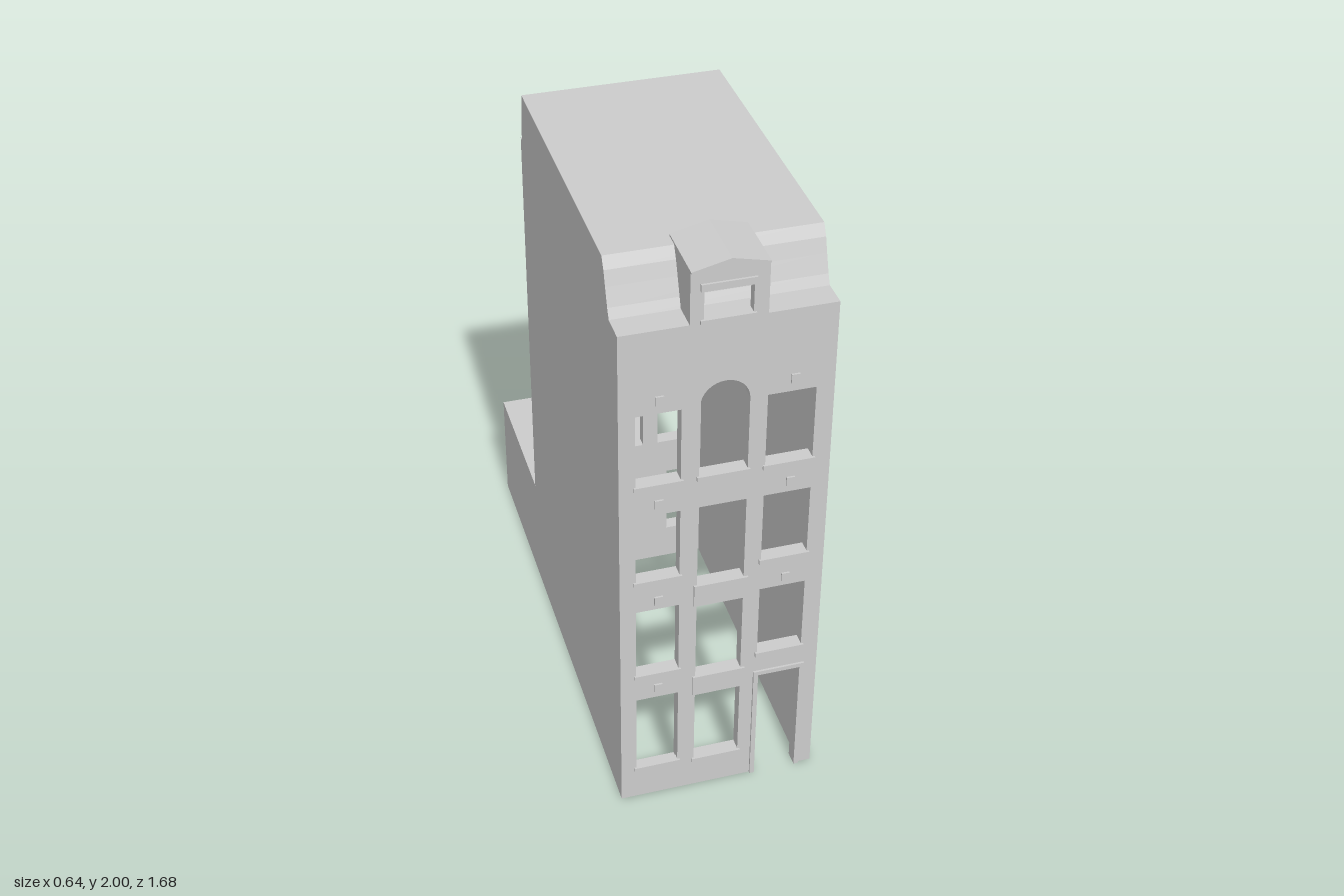
import * as THREE from 'three';

const W = 0.32, FRONT = 0.835, BACK = -0.32, T = 0.04;
const COLS = [[-0.27, -0.135], [-0.08, 0.067], [0.12, 0.265]];
const ROWS = [[1.27, 1.52], [0.91, 1.155], [0.53, 0.79]];

export function createModel() {
  const model = new THREE.Group();
  const stone = new THREE.MeshStandardMaterial({ color: 0xcccccc, side: THREE.DoubleSide });
  stone.name = 'grey stone';

  const add = (name, geometry) => {
    const mesh = new THREE.Mesh(geometry, stone);
    mesh.name = name;
    model.add(mesh);
    return mesh;
  };
  const box = (name, x0, x1, y0, y1, z0, z1) =>
    add(name, new THREE.BoxGeometry(x1 - x0, y1 - y0, z1 - z0))
      .position.set((x0 + x1) / 2, (y0 + y1) / 2, (z0 + z1) / 2);
  const outline = (pts) => new THREE.Shape(pts.map(([x, y]) => new THREE.Vector2(x, y)));
  const rect = (x0, x1, y0, y1) => [[x0, y0], [x1, y0], [x1, y1], [x0, y1]];
  const cut = (shape, pts) => shape.holes.push(new THREE.Path(outline(pts).getPoints()));
  const extrude = (shape, depth) =>
    new THREE.ExtrudeGeometry(shape, { depth, bevelEnabled: false, curveSegments: 16 });
  // slab facing z, drawn in x and y
  const slabZ = (name, shape, z0, z1) => add(name, extrude(shape, z1 - z0).translate(0, 0, z0));
  // slab facing x, drawn in z and y
  const slabX = (name, shape, x0, x1) =>
    add(name, extrude(shape, x1 - x0).rotateY(-Math.PI / 2).translate(x1, 0, 0));

  // front wall with door notch and window openings
  const front = outline([[-W, 0], [0.12, 0], [0.12, 0.43], [0.265, 0.43], [0.265, 0], [W, 0], [W, 1.8], [-W, 1.8]]);
  for (const c of [0, 2]) for (const r of ROWS) cut(front, rect(...COLS[c], ...r));
  cut(front, rect(...COLS[0], 0.12, 0.425));
  cut(front, rect(...COLS[1], 0.12, 0.405));
  cut(front, rect(...COLS[1], 0.48, 0.775));
  cut(front, rect(...COLS[1], 0.855, 1.155));
  const arch = [[-0.08, 1.27], [0.067, 1.27]];
  for (let i = 0; i <= 16; i++) {
    const a = (i / 16) * Math.PI;
    arch.push([-0.0065 + 0.0735 * Math.cos(a), 1.522 + 0.0735 * Math.sin(a)]);
  }
  cut(front, arch);
  slabZ('frontWall', front, FRONT - T, FRONT);

  // back wall, solid behind the annex
  const back = outline(rect(-W, W, 0, 1.8));
  for (const c of COLS) for (const r of ROWS) cut(back, rect(...c, ...r));
  cut(back, rect(0.155, 0.265, 0.13, 0.395));
  slabZ('backWall', back, BACK, BACK + T);

  // side walls follow the roof profile
  const roofLine = [[0.75, 1.8], [0.735, 1.83], [0.715, 1.885], [0.7, 1.93], [0.68, 1.965], [-0.285, 1.965], [-0.305, 1.8]];
  const side = outline([[BACK, 0], [FRONT, 0], [FRONT, 1.8], ...roofLine, [BACK, 1.8]]);
  slabX('leftWall', side, W - T, W);
  slabX('rightWall', side, -W, -W + T);

  // roof shell and front gutter ledge
  const inner = roofLine.map(([z, y]) => [z > 0 ? z - 0.025 : z + 0.025, y > 1.9 ? y - 0.025 : y]).reverse();
  slabX('roof', outline([...roofLine, ...inner]), -W + T, W - T);
  box('frontLedge', -W + T, W - T, 1.78, 1.8, 0.72, FRONT - T);

  // sills, front and back
  const sill = (c, y, z0, z1) => box('sill', c[0] - 0.007, c[1] + 0.007, y - 0.015, y, z0, z1);
  for (const c of COLS) for (const r of ROWS) {
    if (c !== COLS[1] || r === ROWS[0]) sill(c, r[0], FRONT - 0.02, 0.842);
    sill(c, r[0], BACK - 0.008, BACK + 0.02);
  }
  sill(COLS[0], 0.13, FRONT - 0.02, 0.842);
  sill(COLS[1], 0.12, FRONT - 0.02, 0.842);
  sill([0.162, 0.265], 0.13, BACK - 0.008, BACK + 0.02);

  // raised panels between the middle windows
  for (const [y0, y1] of [[0.775, 0.855], [0.405, 0.48]]) box('balconyPanel', -0.09, 0.08, y0, y1, FRONT - T, 0.842);

  // small wall anchors
  for (const x of [-0.2, 0.2]) for (const y of [1.565, 1.195, 0.825, 0.465]) {
    if (x < 0 || y > 0.5) box('wallAnchor', x - 0.013, x + 0.013, y - 0.015, y + 0.015, FRONT - 0.01, 0.841);
  }

  // door frame
  slabZ('doorFrame', outline([[0.11, 0], [0.125, 0], [0.125, 0.435], [0.262, 0.435], [0.262, 0], [0.277, 0], [0.277, 0.45], [0.11, 0.45]]), FRONT - T, 0.842);

  // dormer
  const dormer = outline([[-0.115, 1.8], [0.112, 1.8], [0.112, 1.967], [0, 1.995], [-0.115, 1.967]]);
  cut(dormer, rect(-0.075, 0.068, 1.812, 1.905));
  slabZ('dormerFront', dormer, FRONT - 0.03, FRONT);
  const cheek = outline([[FRONT - 0.03, 1.8], [FRONT - 0.03, 1.967], [0.68, 1.967], [0.7, 1.93], [0.75, 1.8]]);
  slabX('dormerLeftCheek', cheek, 0.092, 0.112);
  slabX('dormerRightCheek', cheek, -0.115, -0.095);
  slabZ('dormerRoof', outline([[-0.115, 1.967], [0, 1.99], [0.112, 1.967], [0.112, 1.973], [0, 2], [-0.115, 1.973]]), 0.635, 0.842);
  box('dormerLintel', -0.086, 0.076, 1.905, 1.928, FRONT - 0.02, 0.842);
  box('dormerSill', -0.086, 0.076, 1.798, 1.812, FRONT - 0.02, 0.842);

  // annex: open back, side window, floor and roof
  const annexX = 0.155, annexZ = -0.84;
  const annexBack = outline(rect(-W, annexX, 0, 0.4));
  cut(annexBack, rect(-0.27, 0.105, 0.03, 0.355));
  slabZ('annexBack', annexBack, annexZ, annexZ + 0.03);
  const annexSide = outline(rect(annexZ, BACK, 0, 0.4));
  slabX('annexRightWall', annexSide, -W, -W + 0.03);
  const windowSide = outline(rect(annexZ, BACK, 0, 0.4));
  cut(windowSide, rect(-0.71, -0.325, 0.13, 0.39));
  slabX('annexLeftWall', windowSide, annexX - 0.03, annexX);
  box('annexFloor', -W + 0.03, annexX - 0.03, 0, 0.02, annexZ + 0.03, BACK);
  box('annexRoof', -W + 0.03, annexX - 0.03, 0.385, 0.4, annexZ + 0.03, BACK);

  return model;
}
